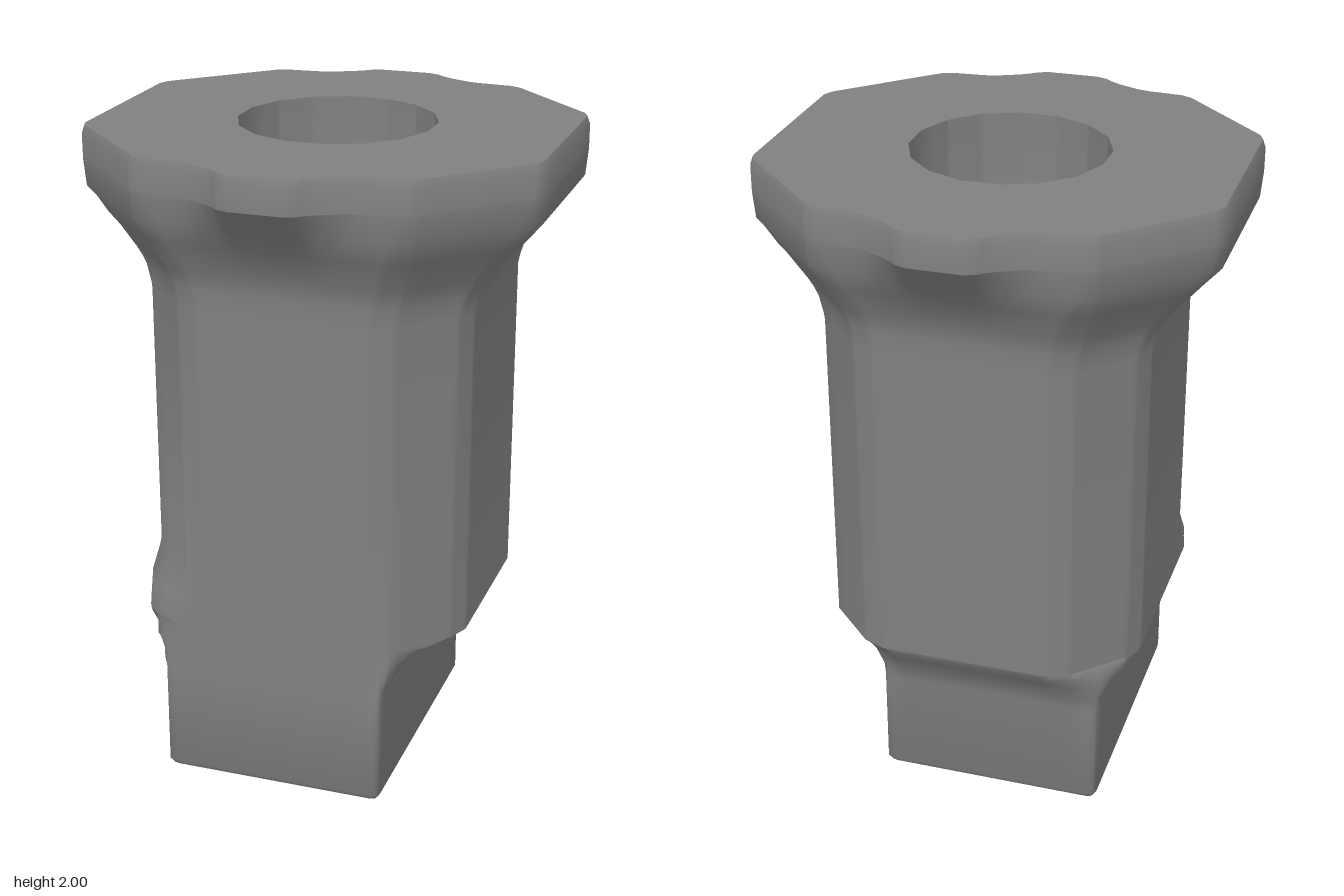
import * as THREE from 'three';
import { toCreasedNormals } from 'three/addons/utils/BufferGeometryUtils.js';

// Rectangle with four chamfers: front left, front right, back right, back left (in x+, x- order)
function box(x0, x1, z0, z1, a, b, c, d) {
  return [
    [x1, z1 - a], [x1 - a, z1], [x0 + b, z1], [x0, z1 - b],
    [x0, z0 + c], [x0 + c, z0], [x1 - d, z0], [x1, z0 + d],
  ];
}

// Symmetric outline mirrored from one quarter running from the side to the front
function mirrored(q) {
  const r = [...q].reverse();
  return [
    ...q, ...r.map(([x, z]) => [-x, z]),
    ...q.map(([x, z]) => [-x, -z]), ...r.map(([x, z]) => [x, -z]),
  ];
}
const oct = (hx, hz, sum) => mirrored([[hx, sum - hx], [sum - hz, hz]]);
const collar = (s, bump) => mirrored(
  [[0.7, 0.3], [0.4, 0.6], [0.25, 0.61], [0.15, 0.6 + bump * 0.55], [0.1, 0.6 + bump]].map(([x, z]) => [x * s, z * s]));
const circle = (r) => Array.from({ length: 16 }, (_, i) => {
  const a = ((i + 0.5) / 16) * Math.PI * 2;
  return [r * Math.cos(a), r * Math.sin(a)];
});

// Cut each corner a little so shading bends softly there
function soften(poly, r = 0.04) {
  const out = [];
  poly.forEach((p, i) => {
    for (const q of [poly.at(i - 1), poly[(i + 1) % poly.length]]) {
      const len = Math.hypot(q[0] - p[0], q[1] - p[1]);
      const t = Math.min(r / len, 0.35);
      out.push([p[0] + (q[0] - p[0]) * t, p[1] + (q[1] - p[1]) * t]);
    }
  });
  return out;
}

// Distance from the axis to the outline in direction a
function reach(poly, a) {
  const c = Math.cos(a), s = Math.sin(a);
  let best = 0;
  poly.forEach((p, i) => {
    const q = poly[(i + 1) % poly.length];
    const ex = q[0] - p[0], ez = q[1] - p[1];
    const den = c * ez - s * ex;
    if (Math.abs(den) < 1e-9) return;
    const t = (p[0] * ez - p[1] * ex) / den;
    const u = (p[0] * s - p[1] * c) / den;
    if (t > 0 && u > -1e-6 && u < 1 + 1e-6) best = Math.max(best, t);
  });
  return best;
}

// Skin through [height, outline] sections, sampled at the given angles
function loft(sections, angles) {
  const pos = [], index = [], n = angles.length;
  for (const [y, poly] of sections) {
    for (const a of angles) {
      const r = reach(poly, a);
      pos.push(r * Math.cos(a), y, r * Math.sin(a));
    }
  }
  for (let j = 0; j < sections.length - 1; j++) {
    for (let i = 0; i < n; i++) {
      const a = j * n + i, b = j * n + ((i + 1) % n);
      index.push(a, a + n, b, b, a + n, b + n);
    }
  }
  const g = new THREE.BufferGeometry();
  g.setAttribute('position', new THREE.Float32BufferAttribute(pos, 3));
  g.setIndex(index);
  return toCreasedNormals(g, 0.9);
}

export function createModel() {
  const group = new THREE.Group();
  const grey = new THREE.MeshStandardMaterial({ color: 0x808080 });
  grey.name = 'grey';

  const e = 0.012;
  const block = soften(box(-0.4, 0.3, -0.4, 0.5, e, e, e, e), 0.01);
  const blockFoot = soften(box(-0.39, 0.29, -0.39, 0.49, e, e, e, e), 0.01);
  const shaft = soften(oct(0.5, 0.5, 0.8));
  const shaftFoot = soften(box(-0.5, 0.5, -0.5, 0.5, 0.2, 0.1, 0.2, 0.2));
  const rim = soften(collar(1, 0.1), 0.02);
  const rimTop = soften(collar(0.988, 0.1), 0.02);
  const hole = circle(0.3);

  const parts = {
    // Off-centre square peg, flush with the front
    peg: [
      [0, circle(0.001)], [0, blockFoot], [0.018, block], [0.34, block],
      [0.38, soften(box(-0.41, 0.31, -0.41, 0.5, 0.02, 0.02, 0.03, 0.03))],
      [0.45, soften(box(-0.45, 0.35, -0.45, 0.5, 0.05, 0.05, 0.08, 0.07))],
      [0.5, soften(box(-0.495, 0.44, -0.495, 0.5, 0.14, 0.1, 0.18, 0.16))],
      [0.515, shaftFoot],
    ],
    // Eight-sided shaft flaring into the collar
    shaft: [
      [0.515, shaftFoot],
      [0.6, soften(box(-0.5, 0.5, -0.5, 0.5, 0.2, 0.12, 0.2, 0.2))],
      [0.7, shaft], [1.53, shaft],
      [1.6, soften(oct(0.52, 0.5, 0.81))],
      [1.65, soften(oct(0.55, 0.51, 0.84))],
      [1.75, soften(oct(0.635, 0.57, 0.93))],
      [1.82, soften(collar(0.99, 0.04), 0.02)],
      [1.9, rim],
    ],
    // Collar with front and back bulges
    collar: [[1.9, rim], [1.975, rim], [2, rimTop], [2, hole]],
    // Round-bottomed bore
    bore: [
      [2, hole], [1.8, hole],
      ...Array.from({ length: 8 }, (_, i) => {
        const t = ((i + 1) / 8) * Math.PI / 2;
        return [1.8 - 0.3 * Math.sin(t), circle(Math.max(0.3 * Math.cos(t), 0.001))];
      }),
    ],
  };

  // Shared sample angles pass through every outline corner
  const all = Object.values(parts).flat().flatMap(([, p]) => p)
    .map(([x, z]) => Math.atan2(z, x)).sort((a, b) => a - b);
  const angles = all.filter(((last) => (a) => a - last > 0.008 && ((last = a), true))(-10));

  for (const [name, sections] of Object.entries(parts)) {
    const mesh = new THREE.Mesh(loft(sections, angles), grey);
    mesh.name = name;
    group.add(mesh);
  }
  return group;
}
